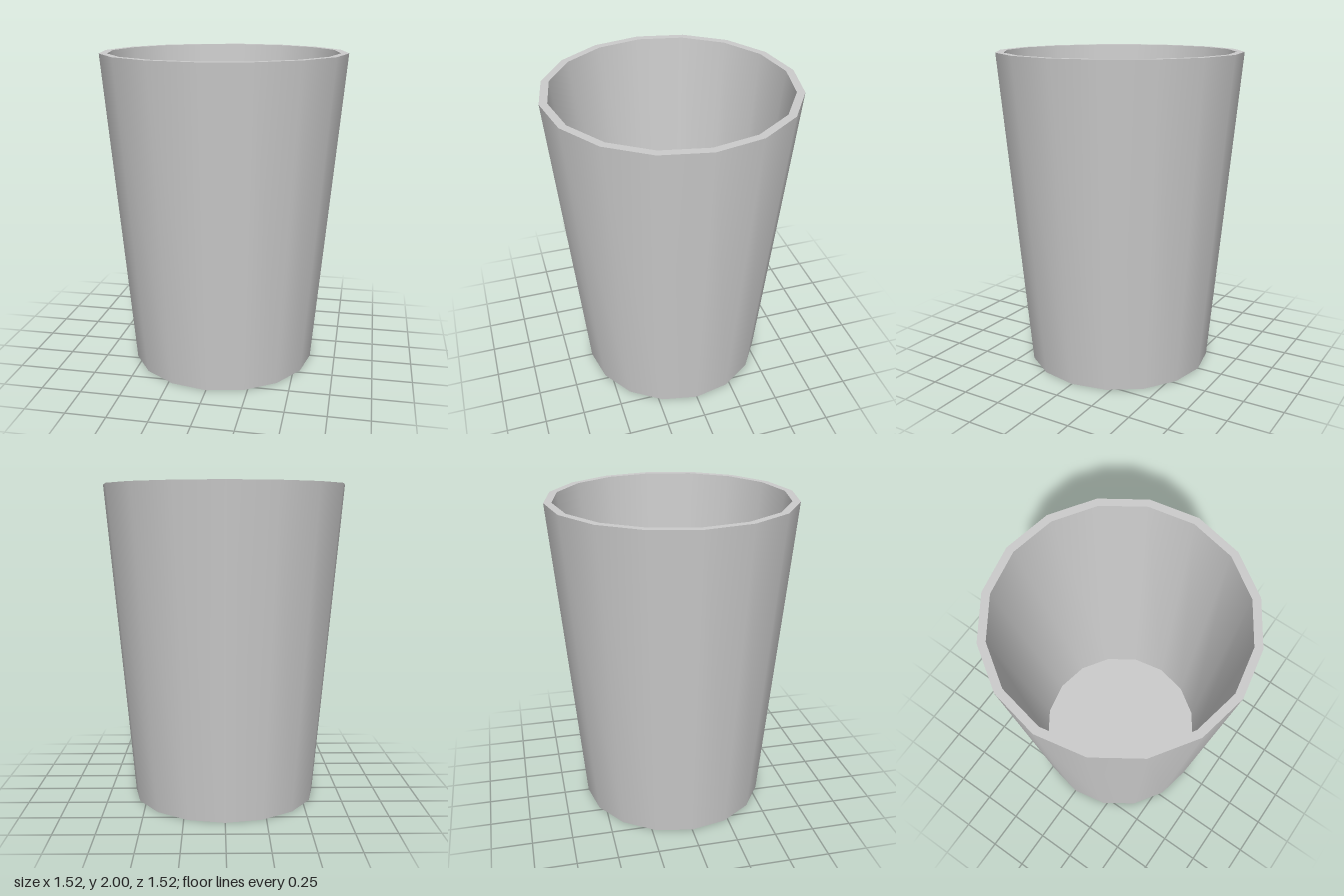
import * as THREE from 'three';

const SIDES = 16;

export function createModel() {
  const cup = new THREE.Group();
  cup.name = 'cup';
  const material = new THREE.MeshStandardMaterial({ color: 0xcccccc });

  // Each section is revolved on its own so the edges between them stay sharp
  const addSection = (name, from, to) => {
    const points = [new THREE.Vector2(...from), new THREE.Vector2(...to)];
    const mesh = new THREE.Mesh(new THREE.LatheGeometry(points, SIDES), material);
    mesh.name = name;
    cup.add(mesh);
  };

  // Profile corners as [radius, height]
  const baseEdge = [0.588, 0];
  const rimOuter = [0.762, 2];
  const rimInner = [0.714, 2];
  const floorEdge = [0.555, 0.1];

  addSection('base', [0, 0], baseEdge);
  addSection('outerWall', baseEdge, rimOuter);
  addSection('rim', rimOuter, rimInner);
  addSection('innerWall', rimInner, floorEdge);
  addSection('innerFloor', floorEdge, [0, floorEdge[1]]);

  return cup;
}
